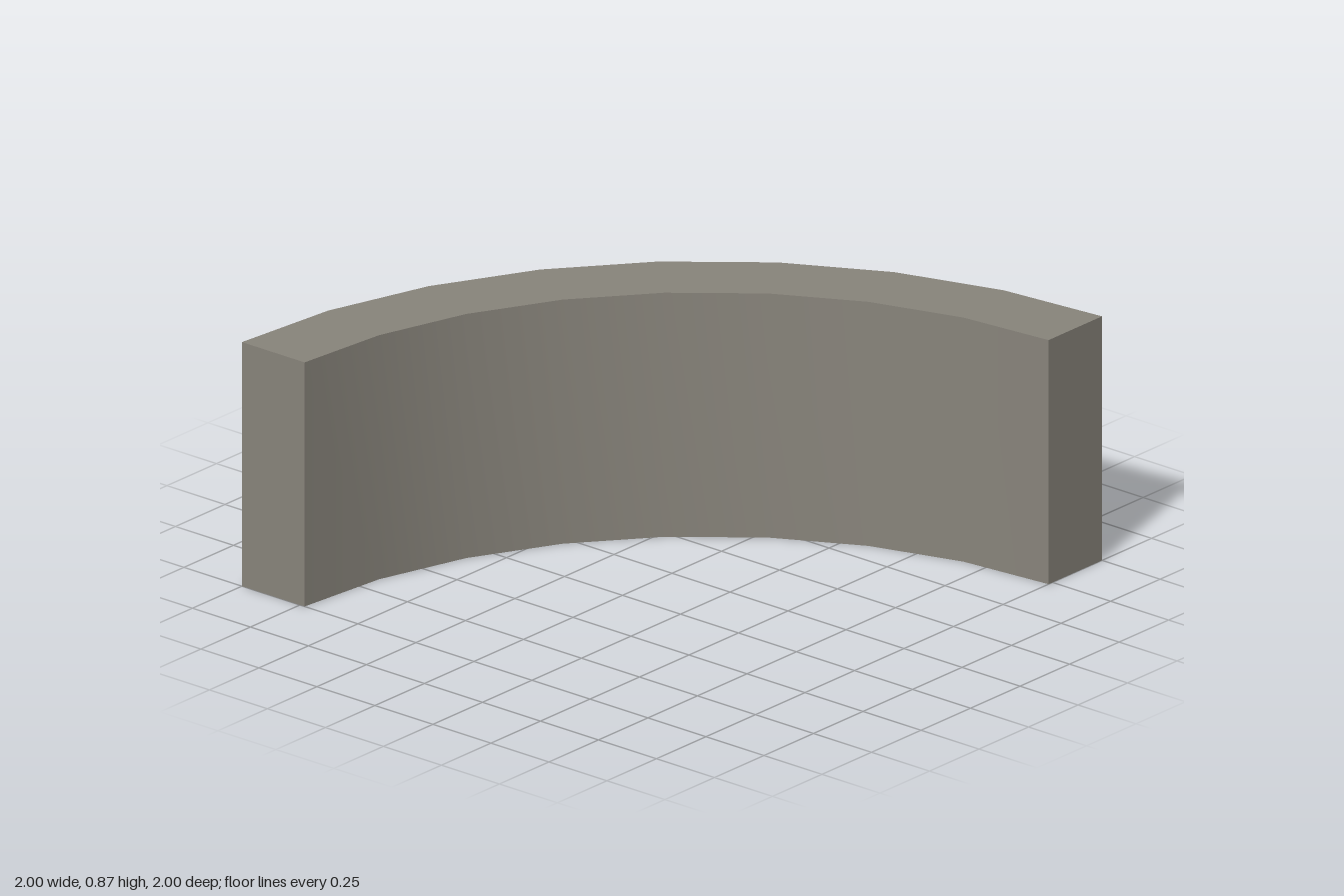
import * as THREE from 'three';
import { toCreasedNormals } from 'three/addons/utils/BufferGeometryUtils.js';

const HEIGHT = 0.865, OUTER = 2, INNER = 1.73, SEGMENTS = 8;

// Points along a quarter circle centred on the corner (1, -1) of the plan
function arc(radius) {
  return Array.from({ length: SEGMENTS + 1 }, (_, i) => {
    const a = Math.PI / 2 * (1 + i / SEGMENTS);
    return new THREE.Vector2(1 + radius * Math.cos(a), -1 + radius * Math.sin(a));
  });
}

export function createModel() {
  const group = new THREE.Group();
  group.name = 'curvedWall';
  const stone = new THREE.MeshStandardMaterial({ color: 0x88847b });
  stone.name = 'warm grey stone';

  // Quarter-ring plan raised to the wall height, smooth around the curve
  const plan = new THREE.Shape([...arc(OUTER), ...arc(INNER).reverse()]);
  const solid = new THREE.ExtrudeGeometry(plan, { depth: HEIGHT, bevelEnabled: false });
  solid.rotateX(-Math.PI / 2);
  const wall = new THREE.Mesh(toCreasedNormals(solid, 0.5), stone);
  wall.name = 'quarterRingWall';
  group.add(wall);
  return group;
}
